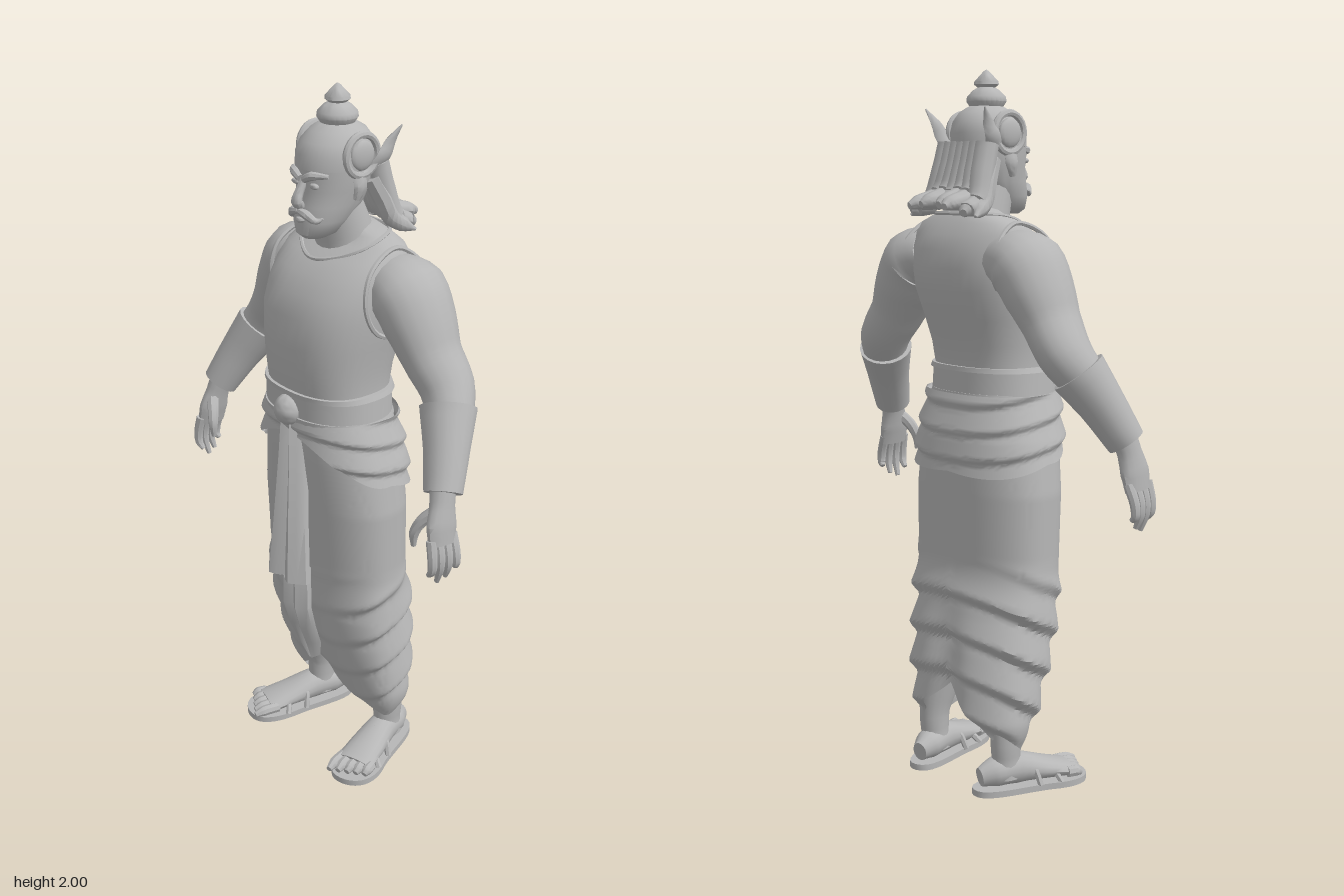
import * as THREE from 'three';
import { toCreasedNormals } from 'three/addons/utils/BufferGeometryUtils.js';

const grey = new THREE.MeshStandardMaterial({ color: 0xb6b6b6, side: THREE.DoubleSide });
grey.name = 'stone grey';
const V = (x, y, z) => new THREE.Vector3(x, y, z);

function add(parent, name, geo) {
  const m = new THREE.Mesh(toCreasedNormals(geo, 0.75), grey);
  m.name = name;
  parent.add(m);
  return m;
}

// Skin closed rings of points into a surface, optionally capped at both ends
function loft(rings, cap = true) {
  const n = rings[0].length, pos = [], idx = [];
  rings.forEach(r => r.forEach(p => pos.push(p.x, p.y, p.z)));
  for (let j = 0; j < rings.length - 1; j++) for (let i = 0; i < n; i++) {
    const a = j * n + i, b = j * n + (i + 1) % n;
    idx.push(a, a + n, b, b, a + n, b + n);
  }
  if (cap) [0, rings.length - 1].forEach((j, end) => {
    const c = rings[j].reduce((s, p) => s.add(p), V(0, 0, 0)).divideScalar(n), k = pos.length / 3;
    pos.push(c.x, c.y, c.z);
    for (let i = 0; i < n; i++) {
      const a = j * n + i, b = j * n + (i + 1) % n;
      end ? idx.push(k, b, a) : idx.push(k, a, b);
    }
  });
  const g = new THREE.BufferGeometry();
  g.setAttribute('position', new THREE.Float32BufferAttribute(pos, 3));
  g.setIndex(idx);
  return g;
}

// Interpolate rows [y, halfWidth, zFront, zBack], listed downward, at a height
function rowAt(rows, y) {
  let i = 0;
  while (i < rows.length - 2 && y < rows[i + 1][0]) i++;
  const [a, b] = [rows[i], rows[i + 1]], t = THREE.MathUtils.clamp((y - a[0]) / (b[0] - a[0]), 0, 1);
  return a.map((v, k) => v + (b[k] - v) * t);
}
const pw = (v, p) => Math.sign(v) * Math.abs(v) ** p;
function ringOf([y, rx, zf, zb], n = 40, p = 0.85) {
  return Array.from({ length: n }, (_, i) => {
    const a = i / n * Math.PI * 2;
    return V(rx * pw(Math.cos(a), p), y, (zf + zb) / 2 + (zf - zb) / 2 * pw(Math.sin(a), p));
  });
}
const body = (rows, p) => loft(rows.map(r => ringOf(r, 40, p)));

// Tapered limb through points [x, y, z, radius, radius toward z]
function limb(pts, n = 14, steps = 4) {
  const curve = new THREE.CatmullRomCurve3(pts.map(p => V(p[0], p[1], p[2])));
  const total = (pts.length - 1) * steps, rings = [];
  for (let s = 0; s <= total; s++) {
    const t = s / total, f = t * (pts.length - 1), i = Math.min(Math.floor(f), pts.length - 2), k = f - i;
    const c = curve.getPoint(t), d = curve.getTangent(t);
    const ref = Math.abs(d.z) > 0.85 ? V(0, 1, 0) : V(0, 0, 1);
    const u = ref.addScaledVector(d, -ref.dot(d)).normalize(), v = d.clone().cross(u);
    const rad = (p, q) => p[q] ?? p[3];
    const [r1, r2] = [3, 4].map(q => THREE.MathUtils.lerp(rad(pts[i], q), rad(pts[i + 1], q), k));
    rings.push(Array.from({ length: n }, (_, q) => {
      const a = q / n * Math.PI * 2;
      return c.clone().addScaledVector(v, r1 * Math.cos(a)).addScaledVector(u, r2 * Math.sin(a));
    }));
  }
  return loft(rings);
}

// Wrapped cloth from a top height down to a hem that varies with angle, with raised folds
function cloth(rows, top, hem, fold, steps, n = 96) {
  const rings = [];
  for (let j = steps; j >= 0; j--) {
    rings.push(Array.from({ length: n }, (_, i) => {
      const a = i / n * Math.PI * 2, y = top + (hem(a) - top) * j / steps;
      const [, rx, zf, zb] = rowAt(rows, y), d = fold(a, y);
      return V((rx + d) * pw(Math.cos(a), 0.85), y,
        (zf + zb) / 2 + ((zf - zb) / 2 + d) * pw(Math.sin(a), 0.85));
    }));
  }
  return loft(rings, false);
}

// Rounded fold ridge: quick rise from below, long slope above
function ridge(v) {
  const f = v - Math.floor(v);
  return f < .3 ? THREE.MathUtils.smoothstep(f, 0, .3) : 1 - (f - .3) / .7;
}

// Hanging pleated panel, rows [y, x centre, half width, z] listed downward
function panel(rows, depth) {
  const prof = [-1, -0.75, -0.5, -0.25, 0, 0.25, 0.5, 0.75, 1], zs = [-1.6, -0.5, 0.5, 0, -1, 0, 0.5, -0.5, -1.6];
  return loft(rows.map(([y, cx, w, z]) => [
    ...prof.map((p, i) => V(cx - p * w, y, z + zs[i] * depth)),
    ...prof.map((p, i) => V(cx + p * w, y, z + zs[i] * depth - 0.015)),
  ]).reverse());
}

function buildArm(side) {
  add(side, 'upperArm', limb([[.14, 1.5, -.06, .075, .09], [.215, 1.478, -.06, .096, .115], [.265, 1.41, -.06, .088, .105],
    [.31, 1.335, -.06, .073, .088], [.362, 1.262, -.065, .068, .08], [.408, 1.19, -.035, .062], [.475, 1.04, .045, .038]], 18));
  add(side, 'cuff', limb([[.392, 1.215, -.045, .076, .078], [.435, 1.13, 0, .063], [.477, 1.03, .05, .052]], 18, 3));
  add(side, 'palm', limb([[.472, 1.05, .045, .032, .036], [.483, 1.0, .058, .028, .038], [.493, .95, .068, .026, .05],
    [.502, .9, .072, .02, .046]], 14));
  for (let i = 0; i < 4; i++) {
    const z = .036 + .025 * i, tip = [.825, .8, .79, .815][i];
    add(side, 'finger', limb([[.5, .92, z, .014], [.52 - .003 * i, .87, z + .004, .0135], [.522 - .004 * i, .835, z + .004, .012],
      [.512 - .006 * i, tip, z, .007]], 8, 3));
  }
  add(side, 'thumb', limb([[.478, .985, .08, .018], [.452, .955, .1, .017], [.438, .92, .112, .014], [.436, .88, .112, .007]], 8, 3));
}

function buildFoot(side) {
  add(side, 'lowerLeg', limb([[.12, .48, -.02, .075, .09], [.14, .3, -.045, .06, .078], [.152, .16, -.07, .042, .048],
    [.152, .09, -.07, .038, .043], [.152, .04, -.07, .042, .05]], 18));
  const foot = new THREE.Group();
  foot.name = 'foot';
  foot.position.set(.168, 0, -.01);
  foot.rotation.y = 0.27;
  side.add(foot);
  // Sandal sole
  const s = new THREE.Shape();
  s.moveTo(0, -.165);
  s.bezierCurveTo(.065, -.165, .05, -.04, .066, .05);
  s.bezierCurveTo(.095, .15, .05, .19, 0, .19);
  s.bezierCurveTo(-.06, .19, -.075, .13, -.062, .05);
  s.bezierCurveTo(-.045, -.04, -.065, -.165, 0, -.165);
  const sole = new THREE.ExtrudeGeometry(s, { depth: .018, bevelEnabled: false, curveSegments: 10 });
  sole.rotateX(Math.PI / 2).translate(0, .018, 0);
  add(foot, 'sole', sole);
  add(foot, 'instep', limb([[0, .05, -.145, .022, .028], [0, .058, -.1, .042, .042], [0, .06, -.03, .045, .046],
    [.002, .048, .05, .055, .032], [.004, .036, .13, .06, .02]], 16));
  for (let i = 0; i < 5; i++)
    add(foot, 'toe', limb([[-.042 + .024 * i, .036, .11, .016], [-.044 + .025 * i, .036, .16 - .006 * i, .016],
      [-.044 + .025 * i, .03, .188 - .009 * i, .009]], 8, 3));
  for (const [z, h, w] of [[.085, .055, .066], [.02, .088, .058]]) {
    const arch = new THREE.CatmullRomCurve3([V(-w, .015, z), V(-w * .7, h * .7, z - .01), V(0, h, z - .015), V(w * .7, h * .7, z - .01), V(w, .015, z)]);
    add(foot, 'sandalStrap', new THREE.TubeGeometry(arch, 14, .009, 6));
  }
}

function buildHeadSide(side) {
  add(side, 'moustache', limb([[0, 1.69, .13, .009], [.025, 1.685, .128, .012], [.048, 1.668, .112, .009], [.062, 1.676, .1, .003]], 8, 3));
  add(side, 'brow', limb([[.008, 1.772, .118, .01], [.035, 1.785, .114, .012], [.07, 1.785, .088, .006]], 8, 3));
  const eye = add(side, 'eye', new THREE.SphereGeometry(.016, 10, 8));
  eye.scale.set(1, .5, .6);
  eye.position.set(.036, 1.757, .107);
  // Round side boss with an upswept leaf
  const boss = add(side, 'sideBoss', new THREE.SphereGeometry(.04, 16, 10));
  boss.scale.x = .35;
  boss.position.set(.094, 1.83, -.005);
  const rim = add(side, 'sideRing', new THREE.TorusGeometry(.053, .01, 8, 24));
  rim.rotation.y = Math.PI / 2;
  rim.position.set(.092, 1.83, -.005);
  add(side, 'crownLeaf', limb([[.085, 1.79, -.05, .01, .022], [.1, 1.82, -.075, .011, .026], [.104, 1.855, -.095, .008, .018], [.118, 1.895, -.12, .002]], 8, 3));
  add(side, 'ear', limb([[.088, 1.785, 0, .01, .022], [.095, 1.75, .002, .012, .022], [.09, 1.715, .01, .008, .01]], 8, 3));
  add(side, 'sideLock', limb([[.075, 1.76, -.055, .026], [.088, 1.7, -.085, .028], [.1, 1.65, -.105, .026], [.115, 1.625, -.135, .02], [.13, 1.61, -.165, .004]], 8, 3));
}

export function createModel() {
  const model = new THREE.Group();
  model.name = 'standingWarrior';

  // Torso, neck and vest edging
  add(model, 'torso', body([[1.1, .175, .16, -.11], [1.2, .172, .172, -.113], [1.26, .176, .18, -.125], [1.33, .186, .182, -.148], [1.41, .198, .175, -.176],
    [1.47, .2, .152, -.182], [1.52, .198, .118, -.176], [1.56, .19, .075, -.16], [1.59, .172, .025, -.14], [1.61, .125, -.005, -.125], [1.63, .07, -.01, -.105]], .8));
  add(model, 'neck', limb([[0, 1.54, -.04, .092], [0, 1.6, -.025, .08], [0, 1.69, .005, .07]], 20));
  const neckline = [[0, 1.552, .086], [.07, 1.565, .06], [.12, 1.59, .012], [.125, 1.61, -.05], [.08, 1.615, -.115]];
  const loop = [...neckline, ...neckline.slice(1).reverse().map(([x, y, z]) => [-x, y, z])].map(p => V(...p));
  add(model, 'neckline', new THREE.TubeGeometry(new THREE.CatmullRomCurve3(loop, true), 48, .006, 6, true));

  // Belt and buckle
  for (const [name, y0, y1, o] of [['belt', 1.12, 1.195, .01], ['beltUpperRim', 1.187, 1.2, .014], ['beltLowerRim', 1.112, 1.128, .014]])
    add(model, name, body([[y0, .178 + o, .166 + o, -.11 - o], [y1, .172 + o, .168 + o, -.108 - o]]));
  add(model, 'buckle', new THREE.SphereGeometry(.045, 20, 14)).position.set(0, 1.14, .168);

  // Long wrapped skirt with a split hem, folds descending from back to front
  const rows = [[1.13, .185, .165, -.115], [1, .215, .16, -.14], [.85, .237, .15, -.14], [.65, .238, .138, -.138], [.5, .226, .13, -.146],
    [.4, .222, .11, -.156], [.3, .214, .08, -.158], [.2, .202, .04, -.148], [.11, .185, -.005, -.125]];
  add(model, 'skirt', cloth(rows, 1.13, a => .11 + .185 * (1 - Math.abs(Math.cos(a)) ** .85), (a, y) => {
    const front = THREE.MathUtils.smoothstep(Math.sin(a), .3, .95);
    const fall = THREE.MathUtils.smoothstep(.68 - y, 0, .15) * THREE.MathUtils.smoothstep(y, .1, .22);
    const pleat = -.02 * Math.exp(-((Math.cos(a) / .2) ** 2)) * THREE.MathUtils.smoothstep(.6 - y, 0, .25);
    return .024 * fall * ridge((y + .08 * Math.sin(a)) / .115) * (1 - .75 * front) + pleat;
  }, 90));
  // Hip sash, gathered up at the front
  add(model, 'hipSash', cloth(rows, 1.125, a => .97 + .06 * Math.min(Math.sin(a), 0) + .1 * Math.max(Math.sin(a), 0) ** 2 - .03 * Math.abs(Math.cos(a)),
    (a, y) => .007 + .013 * ridge((y - .035 * Math.sin(a) + .01) / .075), 32));

  // Hanging front cloth
  add(model, 'frontTail', panel([[.65, .0, .05, .175], [.52, .005, .052, .18], [.44, .0, .046, .155], [.36, -.01, .034, .118], [.29, -.012, .008, .088]], .012));
  add(model, 'frontPanel', panel([[1.13, 0, .034, .178], [1, 0, .046, .185], [.8, 0, .064, .2], [.625, 0, .084, .213]], .016));

  // Head and domed cap
  add(model, 'head', body([[1.612, .03, .11, .04], [1.625, .052, .125, .01], [1.66, .07, .128, -.03], [1.7, .08, .12, -.07], [1.74, .088, .112, -.088],
    [1.77, .093, .114, -.095], [1.82, .095, .11, -.1]], .95));
  add(model, 'nose', limb([[0, 1.772, .108, .011], [0, 1.74, .126, .012], [0, 1.714, .136, .017, .014], [0, 1.7, .12, .012]], 10, 3));
  add(model, 'lowerLip', limb([[-.022, 1.665, .115, .005], [0, 1.664, .126, .009], [.022, 1.665, .115, .005]], 8, 3));
  add(model, 'cap', body([[1.795, .098, .115, -.102], [1.83, .1, .112, -.105], [1.86, .091, .096, -.098], [1.885, .072, .07, -.08],
    [1.9, .05, .045, -.055], [1.91, .02, .015, -.025]], 1));
  add(model, 'finial', new THREE.LatheGeometry([[0, 1.89], [.045, 1.9], [.055, 1.915], [.053, 1.928], [.036, 1.945], [.024, 1.952], [.034, 1.96],
    [.033, 1.968], [.018, 1.984], [.008, 1.995], [0, 2]].map(p => new THREE.Vector2(...p)), 24)).position.z = -.003;

  // Hair swept back in wavy locks
  for (let i = -3; i <= 3; i++) {
    const x = .025 * i, k = Math.abs(i), reach = [.17, .21, .222, .185][k], drop = [.005, 0, .004, .02][k];
    add(model, 'hairLock', limb([[x, 1.8, -.072, .033], [x * 1.05, 1.725, -.092, .034], [x * 1.2, 1.665 - drop, -.122, .032],
      [x * 1.3, 1.648 - drop, -.03 - reach * .75, .025, .02], [x * 1.4, 1.64 - drop, -reach, .01]], 10, 4));
  }

  // Mirrored parts
  for (const s of [1, -1]) {
    const side = new THREE.Group();
    side.name = s > 0 ? 'leftSide' : 'rightSide';
    side.scale.x = s;
    buildArm(side);
    buildFoot(side);
    buildHeadSide(side);
    // Armhole edge of the vest
    const hole = [[.172, 1.592, -.06], [.186, 1.55, .045], [.195, 1.46, .07], [.198, 1.38, .03], [.198, 1.36, -.06], [.195, 1.42, -.13], [.188, 1.52, -.145]];
    add(side, 'armholeEdge', new THREE.TubeGeometry(new THREE.CatmullRomCurve3(hole.map(p => V(...p)), true), 40, .007, 6, true));
    model.add(side);
  }
  return model;
}
